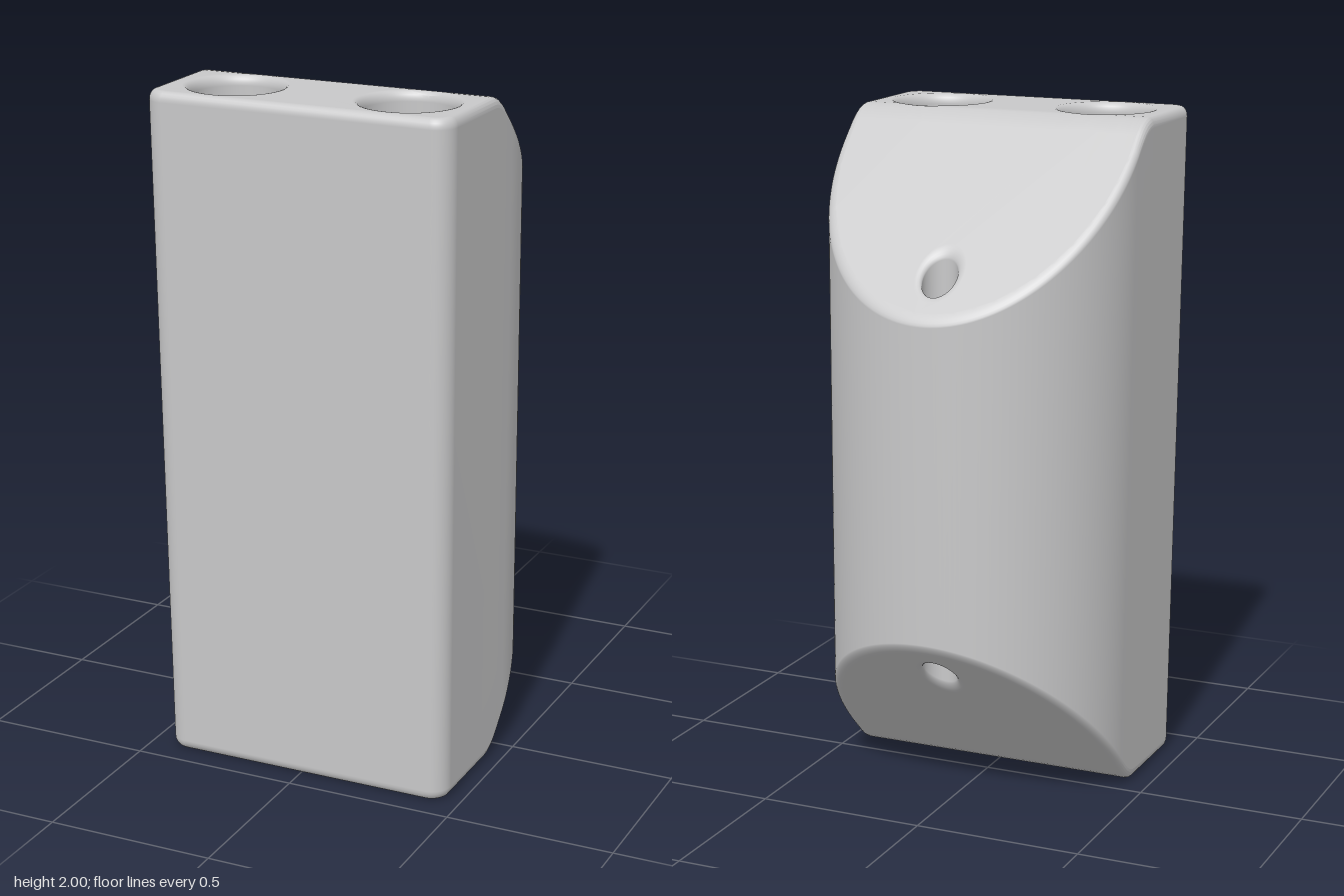
import * as THREE from 'three';
import { mergeVertices } from 'three/addons/utils/BufferGeometryUtils.js';

const circle = (x, z, r) => new THREE.Path().absarc(x, -z, r, 0, Math.PI * 2, true);

// D-shaped plan (shape y = -z): flat front with rounded corners, round back
function planShape() {
  const w = 0.463, front = -0.45, r = 0.06;
  const s = new THREE.Shape();
  s.moveTo(-w + r, front);
  s.lineTo(w - r, front);
  s.absarc(w - r, front + r, r, -Math.PI / 2, 0, false);
  s.lineTo(w, -0.005);
  s.absellipse(0, -0.005, w, 0.46, 0, Math.PI, false);
  s.lineTo(-w, front + r);
  s.absarc(-w + r, front + r, r, Math.PI, Math.PI * 1.5, false);
  // two large bores near the front, one small bore near the back
  s.holes.push(circle(-0.26, 0.267, 0.13), circle(0.265, 0.262, 0.133), circle(-0.004, -0.333, 0.051));
  return s;
}

// Cut every triangle along the plane z = c, so that the caps can bend there
function sliceAtZ(tris, c) {
  const out = [];
  for (const tri of tris) {
    for (const side of [1, -1]) {
      const poly = [];
      tri.forEach((a, i) => {
        const b = tri[(i + 1) % 3];
        const da = (a.z - c) * side, db = (b.z - c) * side;
        if (da >= 0) poly.push(a);
        if ((da > 0 && db < 0) || (da < 0 && db > 0)) poly.push(a.clone().lerp(b, da / (da - db)));
      });
      // a triangle lying wholly in the plane is kept once
      if (side < 0 && tri.every((p) => p.z === c)) continue;
      for (let i = 1; i + 1 < poly.length; i++) out.push([poly[0], poly[i], poly[i + 1]]);
    }
  }
  return out;
}

// Height lost at each end: zero at the front, 45 degree slope behind a soft crease
function drop(z) {
  const t = 0.085 - z, soft = 0.04;
  if (t < -soft) return 0;
  return 0.97 * (t > soft ? t : (t + soft) ** 2 / (4 * soft));
}

function blockGeometry() {
  const bevel = 0.03;
  const base = new THREE.ExtrudeGeometry(planShape(), {
    depth: 2 - 2 * bevel, curveSegments: 48, bevelEnabled: true,
    bevelThickness: bevel, bevelSize: 0.022, bevelOffset: -0.022, bevelSegments: 5,
  });
  base.translate(0, 0, bevel).rotateX(-Math.PI / 2);
  const src = base.index ? base.toNonIndexed() : base;
  const p = src.attributes.position;
  let tris = [];
  for (let i = 0; i < p.count; i += 3) {
    tris.push([0, 1, 2].map((k) => new THREE.Vector3().fromBufferAttribute(p, i + k)));
  }
  for (const c of [0.045, 0.065, 0.085, 0.105, 0.125]) tris = sliceAtZ(tris, c);

  // slope both ends, then lean the front and one side slightly inwards at the foot
  const pts = tris.flat().map((v) => {
    const y = 1 + (v.y - 1) * (1 - drop(v.z));
    const foot = 1 - y / 2;
    const x = v.x + foot * (v.x < 0 ? -0.055 : -0.012) * v.x;
    return new THREE.Vector3(x, y, v.z - 0.015 * foot);
  });
  const g = mergeVertices(new THREE.BufferGeometry().setFromPoints(pts), 1e-5);
  g.computeVertexNormals();
  return g;
}

export function createModel() {
  const grey = new THREE.MeshStandardMaterial({ color: 0xc8c8c9 });
  grey.name = 'light grey';
  const block = new THREE.Mesh(blockGeometry(), grey);
  block.name = 'boredBlock';
  const model = new THREE.Group();
  model.name = 'chamferedBlock';
  model.add(block);
  return model;
}
